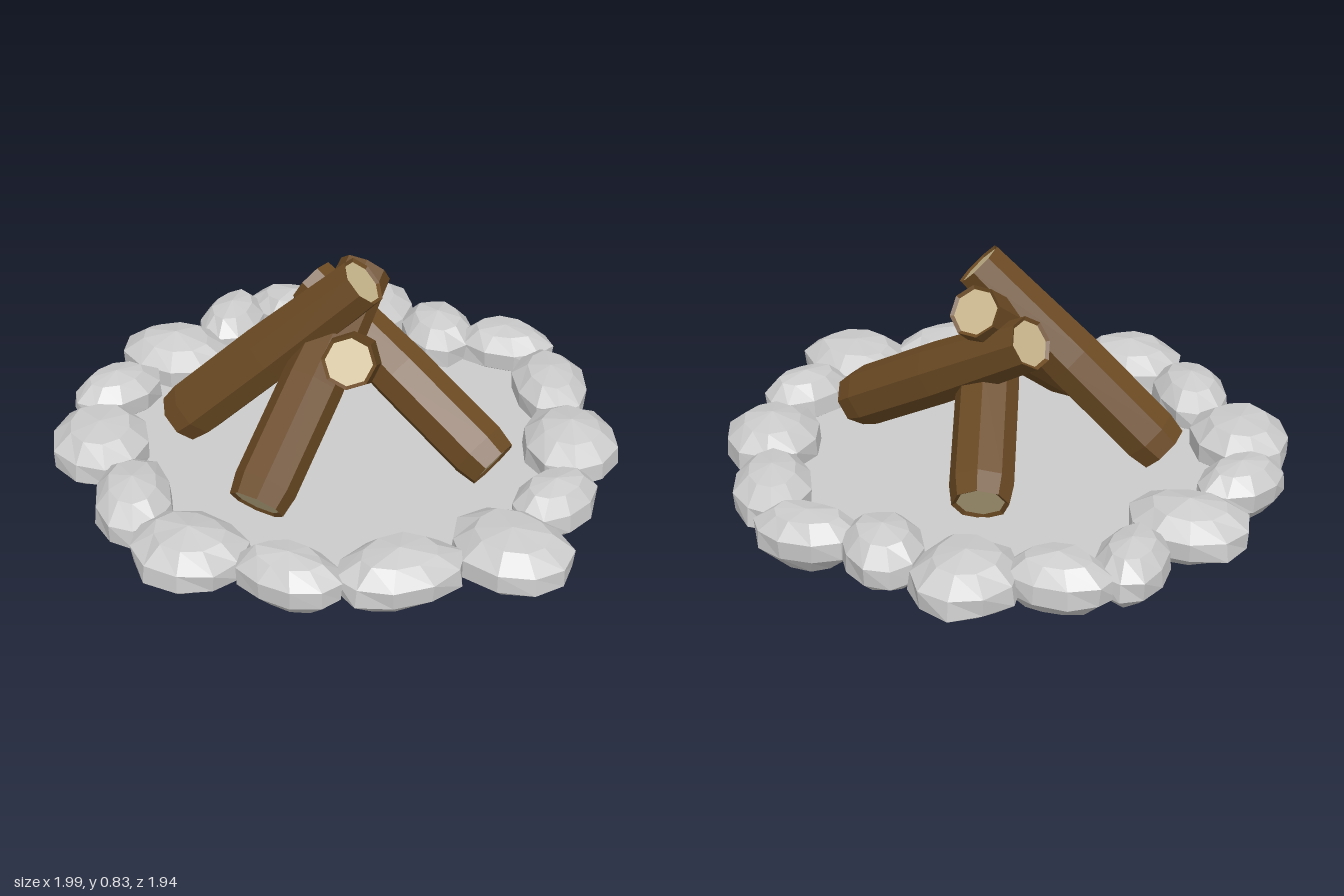
import * as THREE from 'three';

const STONE = new THREE.MeshStandardMaterial({ color: 0xcccccc, flatShading: true });
const BARK = new THREE.MeshStandardMaterial({ color: 0x6b4a23, flatShading: true });
const CUT = new THREE.MeshStandardMaterial({ color: 0xc8b68c, flatShading: true });

// One faceted boulder: a low-poly ellipsoid with gently uneven radius.
function makeStone(x, z, a, b, degrees, seed) {
  const geo = new THREE.SphereGeometry(1, 10, 5);
  const pos = geo.attributes.position;
  const v = new THREE.Vector3();
  for (let i = 0; i < pos.count; i++) {
    v.fromBufferAttribute(pos, i);
    const lump = 0.03 * Math.sin(5 * v.x + 3 * v.z + seed * 2.1) + 0.03 * Math.sin(7 * v.z - 4 * v.y + seed * 1.3);
    const side = 1.06 + lump;
    pos.setXYZ(i, v.x * a * side, v.y * 0.103 * (1 + lump), v.z * b * side);
  }
  geo.computeVertexNormals();
  const mesh = new THREE.Mesh(geo, STONE);
  mesh.name = 'stone';
  mesh.position.set(x, 0.108, z);
  mesh.rotation.y = -THREE.MathUtils.degToRad(degrees);
  return mesh;
}

// One eight-sided log from its low end to its high end, with pale cut faces.
function makeLog(low, high) {
  const from = new THREE.Vector3(...low), to = new THREE.Vector3(...high);
  const length = from.distanceTo(to);
  const log = new THREE.Group();
  log.name = 'log';
  const profile = [
    [0.08, 0.008], [0.095, 0], [0.107, 0.08 * length], [0.107, 0.5 * length],
    [0.09, length], [0.078, length - 0.008],
  ].map(([r, y]) => new THREE.Vector2(r, y));
  const bark = new THREE.Mesh(new THREE.LatheGeometry(profile, 8, Math.PI / 8), BARK);
  bark.name = 'bark';
  log.add(bark);
  for (const [y, r, turn] of [[0.008, 0.08, 1], [length - 0.008, 0.078, -1]]) {
    const cut = new THREE.Mesh(new THREE.CircleGeometry(r, 8, Math.PI / 8), CUT);
    cut.name = 'cutEnd';
    cut.position.y = y;
    cut.rotation.x = turn * Math.PI / 2;
    log.add(cut);
  }
  log.position.copy(from);
  log.quaternion.setFromUnitVectors(new THREE.Vector3(0, 1, 0), to.sub(from).normalize());
  return log;
}

export function createModel() {
  const model = new THREE.Group();
  model.name = 'campfire';

  // Fire bed, held at mid-height inside the stones
  const bed = new THREE.Mesh(
    new THREE.CircleGeometry(0.8, 32),
    new THREE.MeshStandardMaterial({ color: 0xcccccc, side: THREE.DoubleSide }),
  );
  bed.name = 'fireBed';
  bed.rotation.x = -Math.PI / 2;
  bed.position.y = 0.075;
  model.add(bed);

  // Ring of stones: x, z, half length, half width, heading in degrees
  const ring = new THREE.Group();
  ring.name = 'stoneRing';
  [
    [-0.335, -0.785, 0.19, 0.17, 75], [-0.03, -0.785, 0.18, 0.13, 50],
    [0.23, -0.83, 0.175, 0.115, -15], [0.495, -0.655, 0.205, 0.13, 55],
    [0.705, -0.37, 0.195, 0.165, 60], [0.8, -0.04, 0.17, 0.115, 105],
    [0.79, 0.27, 0.208, 0.17, 10], [0.53, 0.54, 0.21, 0.14, -48],
    [0.24, 0.73, 0.18, 0.115, -5], [-0.1, 0.785, 0.195, 0.172, 0],
    [-0.41, 0.655, 0.205, 0.13, 55], [-0.7, 0.44, 0.2, 0.165, 50],
    [-0.835, 0.155, 0.17, 0.115, 110], [-0.795, -0.165, 0.203, 0.167, -5],
    [-0.74, -0.46, 0.175, 0.115, 75], [-0.585, -0.65, 0.175, 0.115, -15],
  ].forEach((s, i) => ring.add(makeStone(...s, i)));
  model.add(ring);

  // Four logs leaning together
  const logs = new THREE.Group();
  logs.name = 'logPile';
  logs.add(
    makeLog([-0.52, 0.145, 0.2], [0.09, 0.77, 0]),
    makeLog([-0.01, 0.16, 0.525], [-0.01, 0.695, -0.19]),
    makeLog([0.56, 0.165, -0.06], [-0.2, 0.61, -0.15]),
    makeLog([-0.185, 0.15, -0.45], [0.17, 0.61, 0.235]),
  );
  model.add(logs);
  return model;
}
